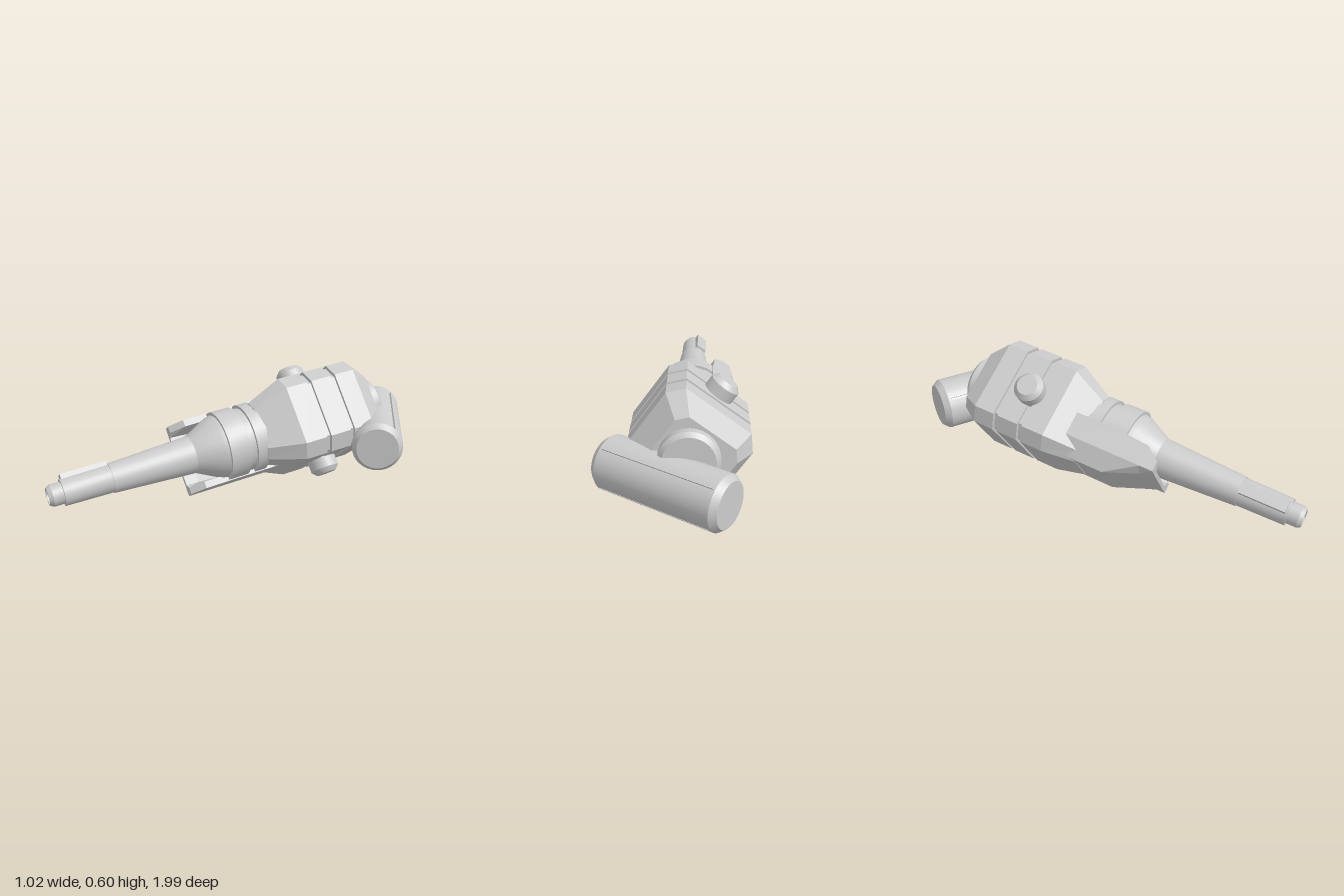
import * as THREE from 'three';
import { toCreasedNormals } from 'three/addons/utils/BufferGeometryUtils.js';

const grey = new THREE.MeshStandardMaterial({ color: 0xcccccc });
const flat = new THREE.MeshStandardMaterial({ color: 0xcccccc, flatShading: true });

function add(parent, name, geometry, material = grey) {
  const mesh = new THREE.Mesh(geometry, material);
  mesh.name = name;
  parent.add(mesh);
  return mesh;
}

// Turned part along z; each point is [distance behind the muzzle, radius], rear to front
function turned(points, segments = 32) {
  const profile = points.map(([w, r]) => new THREE.Vector2(r, -w));
  const g = new THREE.LatheGeometry(profile, segments).rotateX(Math.PI / 2);
  return toCreasedNormals(g, 0.5);
}

// Skin over counterclockwise cross-sections, front to rear: { w, pts: [[x, y], ...] }
function loft(sections) {
  const pos = [];
  const n = sections[0].pts.length;
  const put = (i, j) => pos.push(...sections[i].pts[j % n], -sections[i].w);
  for (let i = 0; i < sections.length - 1; i++) {
    for (let j = 0; j < n; j++) {
      put(i + 1, j); put(i + 1, j + 1); put(i, j);
      put(i + 1, j + 1); put(i, j + 1); put(i, j);
    }
  }
  const caps = (i, flip) => {
    const outline = sections[i].pts.map(p => new THREE.Vector2(...p));
    for (const f of THREE.ShapeUtils.triangulateShape(outline, [])) {
      for (const j of flip ? [f[2], f[1], f[0]] : f) put(i, j);
    }
  };
  caps(0, false);
  caps(sections.length - 1, true);
  const g = new THREE.BufferGeometry();
  g.setAttribute('position', new THREE.Float32BufferAttribute(pos, 3));
  g.computeVertexNormals();
  return g;
}

// Eight-sided housing section
function octagon(w, kx, ky, shift = 0) {
  const pts = [[0.24, -0.15], [0.24, 0.15], [0.18, 0.22], [-0.18, 0.22],
    [-0.24, 0.15], [-0.24, -0.15], [-0.18, -0.22], [0.18, -0.22]];
  return { w, pts: pts.map(([x, y]) => [x * kx + shift, y * ky]) };
}

// U-shaped cradle section: wall top, side corner and underside heights
function channel(w, top, corner, under, inner) {
  const half = [[under, 0.13], [corner, 0.185], [top, 0.185], [top, 0.15], [inner, 0.13]];
  const mirrored = half.map(([x, y]) => [x, -y]).reverse();
  return { w, pts: [...half, ...mirrored].reverse() };
}

export function createModel() {
  const model = new THREE.Group();

  // Tilted and rolled frame: z runs forward along the barrel, y through the side knobs
  const gun = new THREE.Group();
  gun.name = 'tiltedAssembly';
  const forward = new THREE.Vector3(-0.353, -0.11, 1).normalize();
  const side = new THREE.Vector3(-0.61, 0.79, 0);
  side.addScaledVector(forward, -side.dot(forward)).normalize();
  const across = new THREE.Vector3().crossVectors(side, forward);
  gun.quaternion.setFromRotationMatrix(new THREE.Matrix4().makeBasis(across, side, forward));
  gun.position.set(-0.468, 0.146, 0.98);
  model.add(gun);

  // Barrel with hollow muzzle
  add(gun, 'barrel', turned([
    [0.8, 0.1], [0.7, 0.095], [0.31, 0.074], [0.31, 0.07], [0.07, 0.066], [0.07, 0.054],
    [0.018, 0.054], [0, 0.044], [0, 0.036], [0.06, 0.036], [0.06, 0],
  ]));
  const ridge = add(gun, 'barrelRidge', new THREE.BoxGeometry(0.06, 0.04, 0.23));
  ridge.position.set(0, 0.065, -0.195);

  // Flared collar with two rings
  add(gun, 'collar', turned([
    [1.14, 0.165], [1.09, 0.165], [1.09, 0.18], [1.03, 0.18], [1.03, 0.165], [0.99, 0.165],
    [0.99, 0.18], [0.885, 0.18], [0.885, 0.165], [0.86, 0.16], [0.73, 0.095],
  ]));

  // Cradle under the collar
  add(gun, 'cradle', loft([
    channel(0.69, -0.07, -0.12, -0.121, -0.1),
    channel(0.76, -0.015, -0.12, -0.145, -0.115),
    channel(0.93, 0, -0.12, -0.21, -0.17),
    channel(1.3, 0, -0.12, -0.21, -0.17),
  ]), flat);

  // Housing: tapered nose, three raised bands with grooves, bevelled rear
  const sections = [octagon(1.08, 0.76, 0.7, -0.03)];
  for (const [start, end] of [[1.25, 1.37], [1.395, 1.51], [1.535, 1.645]]) {
    if (start > 1.3) sections.push(octagon(start, 0.94, 0.94));
    sections.push(octagon(start, 1, 1), octagon(end, 1, 1));
    if (end < 1.6) sections.push(octagon(end, 0.94, 0.94));
  }
  sections.push(octagon(1.75, 0.7, 0.7, -0.015));
  add(gun, 'housing', loft(sections), flat);
  add(gun, 'rearDisc', turned([[1.81, 0], [1.81, 0.12], [1.79, 0.14], [1.73, 0.14]]));

  // Round knobs on both sides
  for (const s of [1, -1]) {
    const knob = turned([[0.2, 0.075], [0.025, 0.075], [0, 0.052], [0, 0]], 20);
    const mesh = add(gun, s > 0 ? 'upperKnob' : 'lowerKnob', knob);
    mesh.rotation.x = -s * Math.PI / 2;
    mesh.position.set(0, s * 0.3, -1.41);
  }

  // Rear cross cylinder with shallow lengthwise grooves and bevelled ends
  const cross = new THREE.Group();
  cross.name = 'rearCylinder';
  const radius = 0.131, length = 0.6;
  const outline = [];
  const grooves = 4, steps = 10;
  for (let i = 0; i < grooves; i++) {
    const start = (i + 0.6) * Math.PI * 2 / grooves;
    const at = (a, r) => outline.push(new THREE.Vector2(r * Math.cos(a), r * Math.sin(a)));
    at(start, radius - 0.01);
    for (let j = 0; j <= steps; j++) at(start + 0.0 + j / steps * 1.47, radius);
    at(start + 1.47, radius - 0.01);
  }
  const drum = new THREE.ExtrudeGeometry(new THREE.Shape(outline), { depth: length, bevelEnabled: false });
  add(cross, 'drum', toCreasedNormals(drum.translate(0, 0, -length / 2), 0.5));
  for (const s of [1, -1]) {
    const cap = turned([[0.04, 0.131], [0.03, 0.131], [0, 0.108], [0, 0]], 40);
    const mesh = add(cross, s > 0 ? 'frontCap' : 'rearCap', cap);
    mesh.position.z = s * (length / 2 + 0.03);
    mesh.rotation.y = s > 0 ? 0 : Math.PI;
  }
  cross.position.set(0.22, 0.228, -0.665);
  cross.rotation.y = Math.atan2(0.407, 0.52);
  model.add(cross);

  return model;
}
